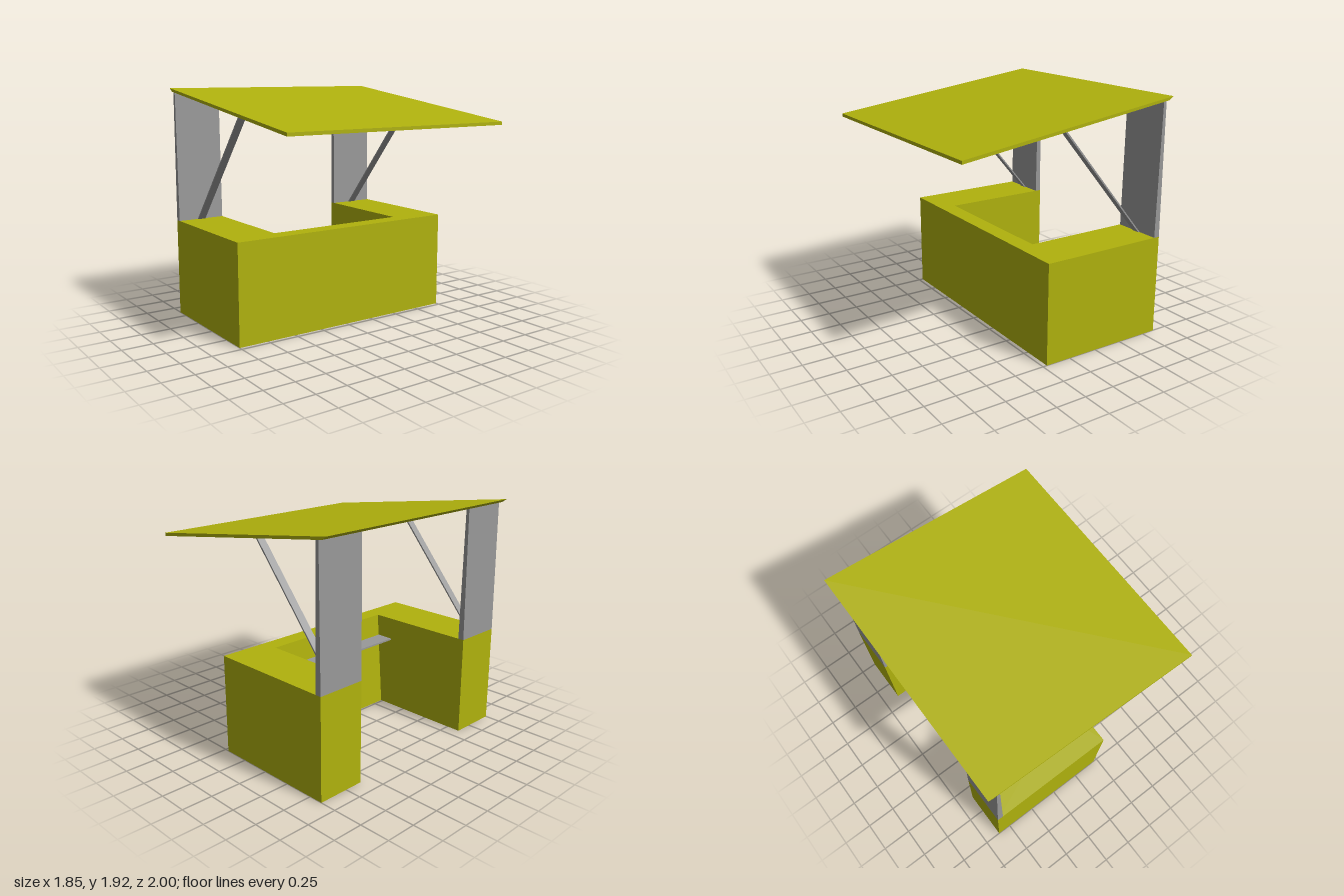
import * as THREE from 'three';

const yellow = new THREE.MeshStandardMaterial({ color: 0xb0b20d });
yellow.name = 'oliveYellow';
const grey = new THREE.MeshStandardMaterial({ color: 0x999999 });
grey.name = 'grey';

const shapeOf = (points) => new THREE.Shape(points.map(([x, y]) => new THREE.Vector2(x, y)));

// Prism with a side profile in x/y, running from z0 to z1
function prism(name, points, z0, z1, material) {
  const geometry = new THREE.ExtrudeGeometry(shapeOf(points), { depth: z1 - z0, bevelEnabled: false });
  geometry.translate(0, 0, z0);
  const mesh = new THREE.Mesh(geometry, material);
  mesh.name = name;
  return mesh;
}

// U-shaped counter, open at the back (-x), its inner front wall leaning outwards
function makeCounter() {
  const back = -0.865, front = 0.215, inTop = 0.075, inBottom = 0.015;
  const plan = [[back, -1], [front, -1], [front, 1], [back, 1],
    [back, 0.6], [inTop, 0.6], [inTop, -0.6], [back, -0.6]];
  const geometry = new THREE.ExtrudeGeometry(shapeOf(plan), { depth: 0.815, bevelEnabled: false });
  geometry.rotateX(-Math.PI / 2);
  const p = geometry.attributes.position;
  for (let i = 0; i < p.count; i++) {
    if (Math.abs(p.getX(i) - inTop) < 0.001 && p.getY(i) < 0.01) p.setX(i, inBottom);
  }
  geometry.computeVertexNormals();
  const mesh = new THREE.Mesh(geometry, yellow);
  mesh.name = 'counter';
  return mesh;
}

export function createModel() {
  const group = new THREE.Group();
  group.name = 'marketStall';
  group.add(makeCounter());

  // Thin shelf behind the counter
  group.add(prism('shelf', [[-0.085, 0.615], [0.06, 0.615], [0.06, 0.63], [-0.085, 0.63]], -0.6, 0.6, grey));

  // Sloping roof
  group.add(prism('roof', [[-0.925, 1.925], [-0.885, 1.897], [0.925, 1.645], [0.925, 1.671]], -1, 1, yellow));

  // Tapered posts and diagonal braces on both sides
  for (const [side, s] of [['left', 1], ['right', -1]]) {
    const span = (a, b) => (s > 0 ? [a, b] : [-b, -a]);
    group.add(prism(side + 'Post',
      [[-0.865, 0.815], [-0.815, 0.815], [-0.829, 1.89], [-0.855, 1.894]], ...span(0.6, 1), grey));
    group.add(prism(side + 'Brace',
      [[-0.817, 0.815], [-0.802, 0.815], [0.007, 1.772], [-0.008, 1.775]], ...span(0.768, 0.832), grey));
  }
  return group;
}
